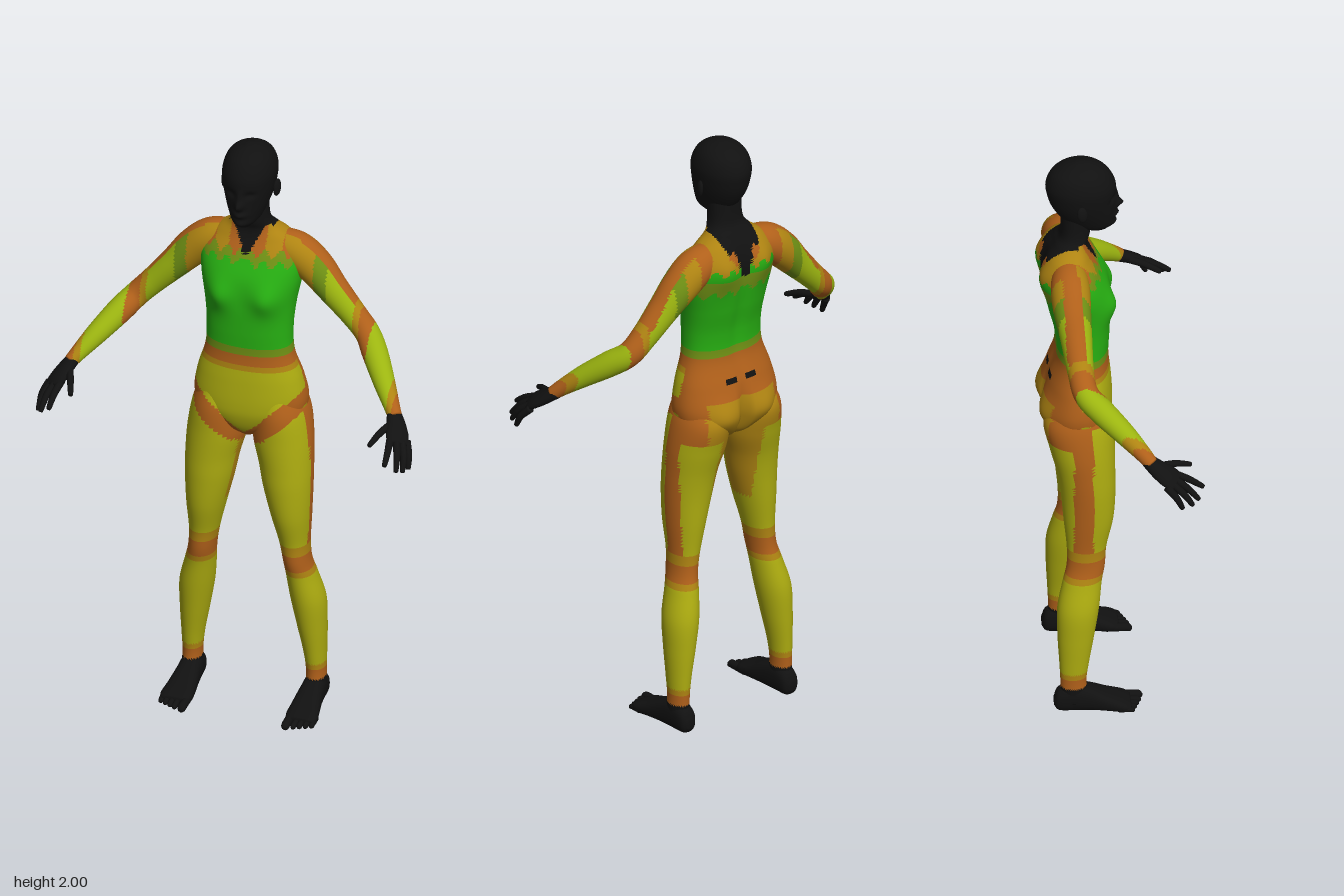
import * as THREE from 'three';

const DARK = 0x111111, GREEN = 0x27b012, OLIVE = 0x6f9014, YELLOW = 0xadac10, LIME = 0x9cb510,
  AMBER = 0xaf8412, ORANGE = 0xb0601a;
const materials = {};
const material = (color) => (materials[color] ??= new THREE.MeshStandardMaterial({ color }));
const X = new THREE.Vector3(1, 0, 0), Y = new THREE.Vector3(0, 1, 0), Z = new THREE.Vector3(0, 0, 1);
const bump = (a, b = 0) => Math.exp(-a * a - b * b);

// Closed smooth skin through elliptical sections [x, y, z, radiusU, radiusV]
function loft(keys, { axis, hint = X, rows = 40, segs = 24, power = 2, move } = {}) {
  const centre = new THREE.CatmullRomCurve3(keys.map((k) => new THREE.Vector3(k[0], k[1], k[2])), false, 'catmullrom');
  const radii = new THREE.CatmullRomCurve3(keys.map((k) => new THREE.Vector3(k[3], k[4], 0)), false, 'catmullrom');
  const pos = [], index = [], p = new THREE.Vector3();
  const curve = (c) => Math.sign(c) * Math.abs(c) ** (2 / power);
  const add = () => { if (move) move(p); pos.push(p.x, p.y, p.z); };
  for (let i = 0; i <= rows; i++) {
    const c = centre.getPoint(i / rows), r = radii.getPoint(i / rows);
    const t = axis ?? centre.getTangent(i / rows);
    const u = hint.clone().addScaledVector(t, -hint.dot(t)).normalize();
    const v = t.clone().cross(u);
    for (let j = 0; j < segs; j++) {
      const a = (j / segs) * Math.PI * 2;
      p.copy(c).addScaledVector(u, r.x * curve(Math.cos(a))).addScaledVector(v, r.y * curve(Math.sin(a)));
      add();
      if (i < rows) {
        const k = i * segs + j, n = i * segs + ((j + 1) % segs);
        index.push(k, n, n + segs, k, n + segs, k + segs);
      }
    }
  }
  // End caps
  const base = (rows + 1) * segs;
  p.copy(centre.getPoint(0)); add();
  p.copy(centre.getPoint(1)); add();
  for (let j = 0; j < segs; j++) {
    const n = (j + 1) % segs;
    index.push(base, n, j, base + 1, rows * segs + j, rows * segs + n);
  }
  const g = new THREE.BufferGeometry();
  g.setAttribute('position', new THREE.Float32BufferAttribute(pos, 3));
  g.setIndex(index);
  g.computeVertexNormals();
  return g;
}

// Splits a skin into one mesh per colour; rule(x, y, z) gives the colour of a face
function paint(name, g, rule) {
  const group = new THREE.Group(), faces = new Map();
  group.name = name;
  const P = g.attributes.position, I = g.index.array;
  for (let f = 0; f < I.length; f += 3) {
    const tri = [I[f], I[f + 1], I[f + 2]];
    const mid = (get) => tri.reduce((s, i) => s + P[get](i), 0) / 3;
    const color = rule(mid('getX'), mid('getY'), mid('getZ'));
    if (!faces.has(color)) faces.set(color, []);
    faces.get(color).push(...tri);
  }
  for (const [color, list] of faces) {
    const part = new THREE.BufferGeometry();
    part.setAttribute('position', P);
    part.setAttribute('normal', g.attributes.normal);
    part.setIndex(list);
    const mesh = new THREE.Mesh(part, material(color));
    mesh.name = name + 'Skin';
    group.add(mesh);
  }
  return group;
}
const dark = () => DARK;

// Section given by limits: [y, x0, x1, zFront, zBack] or [z, x0, x1, y0, y1]
const level = ([y, a, b, f, k]) => [(a + b) / 2, y, (f + k) / 2, (b - a) / 2, (f - k) / 2];
const slice = ([z, a, b, lo, hi]) => [(a + b) / 2, (lo + hi) / 2, z, (b - a) / 2, (hi - lo) / 2];

function torsoColor(x, y, z) {
  const a = Math.abs(x), front = z > -0.11;
  const jag = 0.012 * Math.sin(a * 130);
  if (y > 1.715) return DARK;
  if (front && a < (y - 1.61) * 0.5) return DARK;
  if (!front && a < (y - 1.57) * 0.55 + jag) return DARK;
  if (!front && Math.abs(y - 1.195) < 0.009 && a > 0.012 && a < 0.056) return DARK;
  if (y > 1.63 + jag) return a > 0.06 && a < 0.11 ? AMBER : ORANGE;
  if (y > 1.6 + jag) return front ? OLIVE : AMBER;
  if (!front && y > 1.52 + jag && y < 1.57) return OLIVE;
  if (y > 1.305) return GREEN;
  if (y > 1.28) return OLIVE;
  if (y > 1.245) return ORANGE;
  if (!front) return y > 1.14 || a > 0.13 ? ORANGE : AMBER;
  return Math.abs(y - 0.96 - 0.87 * a) < 0.03 ? ORANGE : y > 1.225 ? AMBER : YELLOW;
}

function legColor(x, y, z) {
  const a = Math.abs(x);
  if (y < 0.095) return DARK;
  if (y < 0.13) return ORANGE;
  if (y < 0.15) return AMBER;
  if (Math.abs(y - 0.535) < 0.03) return ORANGE;
  if (Math.abs(y - 0.54) < 0.055) return AMBER;
  if (y < 0.54) return YELLOW;
  if (z > -0.09 && Math.abs(y - 0.96 - 0.87 * a) < 0.04) return ORANGE;
  if (a > 0.165 && z < -0.075 && z > -0.135) return ORANGE;
  if (y > 0.72 && a < 0.085 && z < -0.06) return AMBER;
  if (y > 1.0 && z < -0.1) return a > 0.14 ? ORANGE : AMBER;
  return YELLOW;
}

function armColor(x, y, z) {
  const a = Math.abs(x);
  if (a > 0.525) return ORANGE;
  if (a > 0.505) return AMBER;
  if (a > 0.4) return LIME;
  if (a > 0.36) return ORANGE;
  if (a > 0.34) return AMBER;
  if (a < 0.16) return a > 0.1 && z > -0.12 ? AMBER : ORANGE;
  if (a + y > 1.79 && Math.abs(z + 0.14) < 0.03) return ORANGE;
  return a < 0.21 ? AMBER : a < 0.25 ? OLIVE : LIME;
}

export function createModel() {
  const model = new THREE.Group();
  model.name = 'figure';

  // Torso and neck, with chest, shoulder blades and buttocks shaped by bumps
  const torso = [[0.965, 0.02, -0.06, -0.13], [1, 0.09, -0.025, -0.185], [1.05, 0.165, -0.005, -0.215],
    [1.1, 0.183, 0, -0.222], [1.18, 0.17, -0.004, -0.205], [1.27, 0.143, -0.012, -0.18], [1.36, 0.139, -0.008, -0.183],
    [1.45, 0.147, -0.006, -0.203], [1.54, 0.163, -0.012, -0.22], [1.61, 0.165, -0.042, -0.22], [1.665, 0.125, -0.07, -0.205],
    [1.7, 0.08, -0.078, -0.183], [1.735, 0.058, -0.068, -0.163], [1.82, 0.054, -0.06, -0.158]];
  model.add(paint('torso', loft(torso.map(([y, w, f, b]) => level([y, -w, w, f, b])), {
    axis: Y, rows: 130, segs: 80, power: 2.25,
    move: (p) => {
      const a = Math.abs(p.x);
      if (p.z > -0.08) {
        p.z += 0.024 * bump((a - 0.08) / 0.045, (p.y - 1.485) / 0.05);
      } else if (p.z < -0.13) {
        p.z -= 0.018 * bump((a - 0.085) / 0.055, (p.y - 1.075) / 0.06);
        p.z += 0.035 * bump(p.x / 0.014, (p.y - 1.06) / 0.085);
        p.z -= 0.018 * bump((a - 0.075) / 0.045, (p.y - 1.6) / 0.06);
        p.z += 0.01 * bump(p.x / 0.025, (p.y - 1.45) / 0.2);
      }
    },
  }), torsoColor));

  // Head with brow, nose, lips and chin
  const head = [[1.742, 0.024, -0.012, -0.085], [1.765, 0.046, 0.006, -0.13], [1.8, 0.062, 0.011, -0.165],
    [1.84, 0.075, 0.012, -0.19], [1.88, 0.083, 0.014, -0.203], [1.92, 0.085, 0.011, -0.207], [1.96, 0.073, -0.01, -0.19],
    [1.985, 0.049, -0.042, -0.155], [1.999, 0.012, -0.08, -0.112]];
  model.add(paint('head', loft(head.map(([y, w, f, b]) => level([y, -w, w, f, b])), {
    axis: Y, rows: 70, segs: 64,
    move: (p) => {
      if (p.z < -0.06) return;
      p.z += 0.024 * bump(p.x / 0.012, (p.y - 1.832) / 0.016) + 0.008 * bump(p.x / 0.01, (p.y - 1.86) / 0.022);
      p.z += 0.012 * bump(p.x / 0.02, (p.y - 1.797) / 0.01) + 0.01 * bump(p.x / 0.025, (p.y - 1.762) / 0.014);
      p.z -= 0.01 * bump((Math.abs(p.x) - 0.031) / 0.017, (p.y - 1.868) / 0.012);
    },
  }), dark));

  for (const s of [1, -1]) {
    const side = s > 0 ? 'left' : 'right';
    const mirror = (keys) => keys.map(([x, ...rest]) => [s * x, ...rest]);

    // Ear
    const ear = new THREE.Mesh(new THREE.SphereGeometry(1, 16, 12), material(DARK));
    ear.name = side + 'Ear';
    ear.scale.set(0.009, 0.029, 0.017);
    ear.position.set(s * 0.087, 1.855, -0.1);
    ear.rotation.set(-0.15, s * -0.35, 0);
    model.add(ear);

    // Leg
    const leg = [[1.13, 0.035, 0.16, -0.02, -0.19], [1.06, 0.015, 0.188, -0.002, -0.223], [0.97, 0.012, 0.203, 0, -0.207],
      [0.88, 0.034, 0.207, 0, -0.184], [0.8, 0.05, 0.207, 0, -0.172], [0.7, 0.075, 0.203, -0.008, -0.164],
      [0.6, 0.1, 0.197, -0.03, -0.155], [0.53, 0.112, 0.2, -0.036, -0.156], [0.47, 0.118, 0.215, -0.047, -0.17],
      [0.38, 0.128, 0.238, -0.057, -0.188], [0.28, 0.146, 0.24, -0.073, -0.188], [0.18, 0.165, 0.237, -0.09, -0.183],
      [0.11, 0.172, 0.235, -0.098, -0.18], [0.04, 0.17, 0.238, -0.09, -0.18]].reverse();
    model.add(paint(side + 'Leg', loft(mirror(leg.map(level)), { axis: Y, rows: 110, segs: 40 }), legColor));

    // Foot and toes
    const foot = [[-0.2, 0.19, 0.218, 0.02, 0.05], [-0.185, 0.174, 0.232, 0.003, 0.08], [-0.14, 0.168, 0.238, 0, 0.1],
      [-0.085, 0.163, 0.242, 0, 0.085], [-0.03, 0.157, 0.251, 0, 0.06], [0.015, 0.155, 0.258, 0, 0.043],
      [0.04, 0.165, 0.25, 0.006, 0.03]];
    model.add(paint(side + 'Foot', loft(mirror(foot.map(slice)), { axis: Z, rows: 36, segs: 28, power: 2.5 }), dark));
    for (let i = 0; i < 5; i++) {
      const r = i ? 0.0095 : 0.014, x = i ? 0.178 + i * 0.0175 : 0.171, end = i ? 0.082 - i * 0.008 : 0.08;
      const toe = [[x, 0.017, 0, r, r], [x, 0.016, end - 0.02, r, r], [x, 0.013, end - 0.006, r * 0.85, r * 0.85],
        [x, 0.012, end, r * 0.3, r * 0.3]];
      model.add(paint(side + 'Toe', loft(mirror(toe), { axis: Z, rows: 10, segs: 10 }), dark));
    }

    // Arm
    const arm = [[0.07, 1.635, -0.14, 0.05], [0.14, 1.612, -0.143, 0.061], [0.2, 1.565, -0.142, 0.059],
      [0.26, 1.5, -0.135, 0.05], [0.33, 1.425, -0.128, 0.042], [0.38, 1.373, -0.115, 0.04], [0.42, 1.333, -0.07, 0.041],
      [0.47, 1.28, -0.005, 0.035], [0.51, 1.235, 0.045, 0.027], [0.535, 1.205, 0.075, 0.022]];
    model.add(paint(side + 'Arm', loft(mirror(arm.map((k) => [...k, k[3]])), { hint: Z, rows: 90, segs: 36 }), armColor));

    // Hand: palm, four fingers and thumb
    const hand = new THREE.Group();
    hand.name = side + 'Hand';
    const across = new THREE.Vector3(s * 0.82, -0.32, -0.47);
    const palm = [[0.526, 1.214, 0.062, 0.022, 0.021], [0.545, 1.19, 0.095, 0.032, 0.02],
      [0.56, 1.168, 0.128, 0.038, 0.017], [0.568, 1.152, 0.152, 0.033, 0.011]];
    hand.add(paint('palm', loft(mirror(palm), { hint: across, rows: 16, segs: 24 }), dark));
    const digits = { // base, knuckle, tip
      index: [[0.542, 1.17, 0.14], [0.55, 1.148, 0.19], [0.553, 1.12, 0.232]],
      middle: [[0.56, 1.163, 0.14], [0.577, 1.135, 0.182], [0.585, 1.097, 0.216]],
      ring: [[0.576, 1.156, 0.132], [0.595, 1.125, 0.17], [0.6, 1.087, 0.196]],
      little: [[0.588, 1.15, 0.118], [0.604, 1.117, 0.147], [0.608, 1.082, 0.164]],
      thumb: [[0.533, 1.192, 0.092], [0.51, 1.182, 0.15], [0.493, 1.163, 0.198]],
    };
    for (const [name, pts] of Object.entries(digits)) {
      const end = pts[2].map((v, i) => v + (v - pts[1][i]) * 0.1);
      const radius = [0.0125, 0.011, 0.008, 0.003];
      const keys = [...pts, end].map((q, i) => [...q, radius[i], radius[i]]);
      hand.add(paint(name + 'Finger', loft(mirror(keys), { hint: across, rows: 18, segs: 12 }), dark));
    }
    model.add(hand);
  }
  return model;
}
